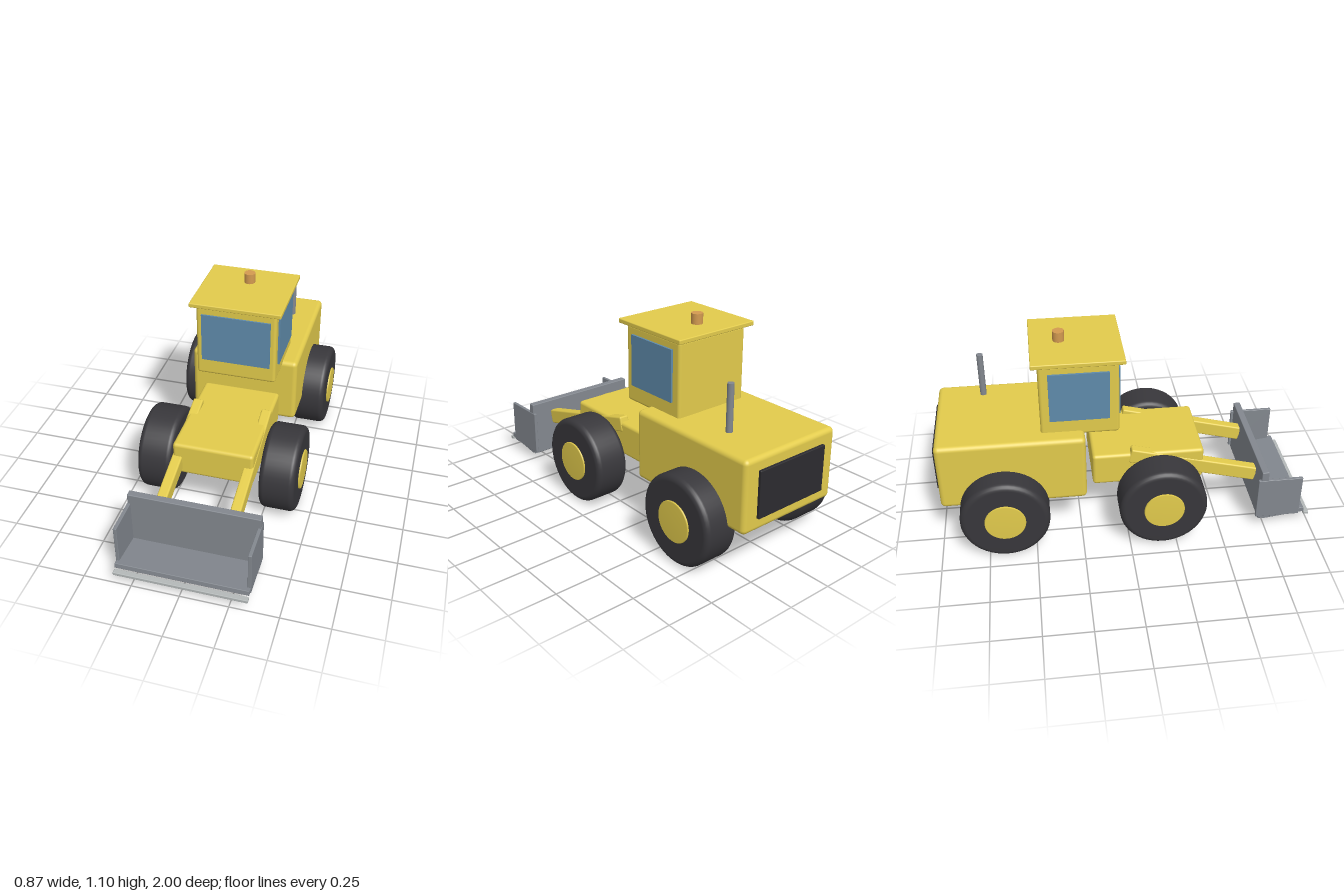
import * as THREE from 'three';
import { RoundedBoxGeometry } from 'three/addons/geometries/RoundedBoxGeometry.js';

const paint = (color) => new THREE.MeshStandardMaterial({ color });
const yellow = paint(0xe2cb4c);
const rubber = paint(0x38373b);
const steel = paint(0x83888f);
const brightSteel = paint(0xb4b9b9);
const glass = paint(0x5f8bab);
const amber = paint(0xd39a50);
const dark = paint(0x2c2b2f);

export function createModel() {
  const model = new THREE.Group();
  model.name = 'vehicle';

  const add = (name, geometry, material, x, y, z) => {
    const mesh = new THREE.Mesh(geometry, material);
    mesh.name = name;
    mesh.position.set(x, y, z);
    model.add(mesh);
    return mesh;
  };

  // Box given by its min/max on each axis; a bevel radius rounds the edges
  const box = (name, material, [x0, x1], [y0, y1], [z0, z1], bevel = 0) => {
    const size = [x1 - x0, y1 - y0, z1 - z0];
    const geometry = bevel
      ? new RoundedBoxGeometry(...size, 3, bevel)
      : new THREE.BoxGeometry(...size);
    return add(name, geometry, material, (x0 + x1) / 2, (y0 + y1) / 2, (z0 + z1) / 2);
  };

  // Articulated body halves
  box('engineBody', yellow, [-0.3, 0.3], [0.257, 0.635], [-0.985, -0.218], 0.025);
  box('frontChassis', yellow, [-0.216, 0.216], [0.272, 0.457], [-0.18, 0.418], 0.018);
  box('rearGrille', dark, [-0.217, 0.217], [0.325, 0.57], [-1, -0.97], 0.004);

  // Cab with roof, windows and beacon
  box('cab', yellow, [-0.217, 0.217], [0.613, 1.025], [-0.442, -0.036], 0.016);
  box('roof', yellow, [-0.246, 0.246], [1.027, 1.051], [-0.475, -0.006], 0.005);
  box('frontWindow', glass, [-0.187, 0.187], [0.707, 0.98], [-0.045, -0.027]);
  for (const s of [-1, 1]) {
    const edges = s > 0 ? [0.21, 0.228] : [-0.228, -0.21];
    box('sideWindow', glass, edges, [0.707, 0.98], [-0.394, -0.086]);
  }
  add('beacon', new THREE.CylinderGeometry(0.03, 0.03, 0.054, 24), amber, 0, 1.078, -0.323);
  add('exhaust', new THREE.CylinderGeometry(0.017, 0.017, 0.245, 20), steel, 0.163, 0.778, -0.736);

  // Tyre profile: flat sides and tread joined by rounded shoulders
  const R = 0.233, half = 0.095, r = 0.03;
  const profile = [new THREE.Vector2(0, -half)];
  for (const side of [-1, 1]) {
    for (let i = 0; i <= 5; i++) {
      const a = (side < 0 ? i - 5 : i) * Math.PI / 10;
      profile.push(new THREE.Vector2(R - r + r * Math.cos(a), side * (half - r) + r * Math.sin(a)));
    }
  }
  profile.push(new THREE.Vector2(0, half));
  const tyre = new THREE.LatheGeometry(profile, 48).rotateZ(-Math.PI / 2);
  const hubProfile = [[0, 0], [0.107, 0], [0.107, 0.014], [0.103, 0.018], [0, 0.018]];
  const hub = new THREE.LatheGeometry(hubProfile.map((p) => new THREE.Vector2(...p)), 36);
  hub.rotateZ(-Math.PI / 2);

  for (const s of [-1, 1]) {
    for (const z of [0.176, -0.654]) {
      const wheel = new THREE.Group();
      wheel.name = 'wheel';
      wheel.position.set(s * 0.333, 0.237, z);
      wheel.rotation.y = s > 0 ? 0 : Math.PI;
      const tyreMesh = new THREE.Mesh(tyre, rubber);
      tyreMesh.name = 'tyre';
      const hubMesh = new THREE.Mesh(hub, yellow);
      hubMesh.name = 'hub';
      hubMesh.position.x = 0.086;
      wheel.add(tyreMesh, hubMesh);
      model.add(wheel);
    }

    // Lift arm, sloping down to the bucket
    const arm = add('liftArm', new RoundedBoxGeometry(0.055, 0.082, 0.72, 3, 0.009), yellow,
      s * 0.192, 0.353, 0.368);
    arm.rotation.x = 0.26;

    // Bucket side plate
    const edges = s > 0 ? [0.327, 0.345] : [-0.345, -0.327];
    box('bucketSide', steel, edges, [0.065, 0.311], [0.7, 0.942], 0.003);
  }

  // Bucket back, tilted floor and cutting edge
  box('bucketBack', steel, [-0.343, 0.343], [0.05, 0.365], [0.714, 0.752], 0.004);
  const bucketFloor = add('bucketFloor', new RoundedBoxGeometry(0.686, 0.028, 0.235, 2, 0.003), steel,
    0, 0.075, 0.853);
  bucketFloor.rotation.x = -0.13;
  box('cuttingEdge', brightSteel, [-0.343, 0.343], [0.054, 0.072], [0.972, 1], 0.003);

  return model;
}
